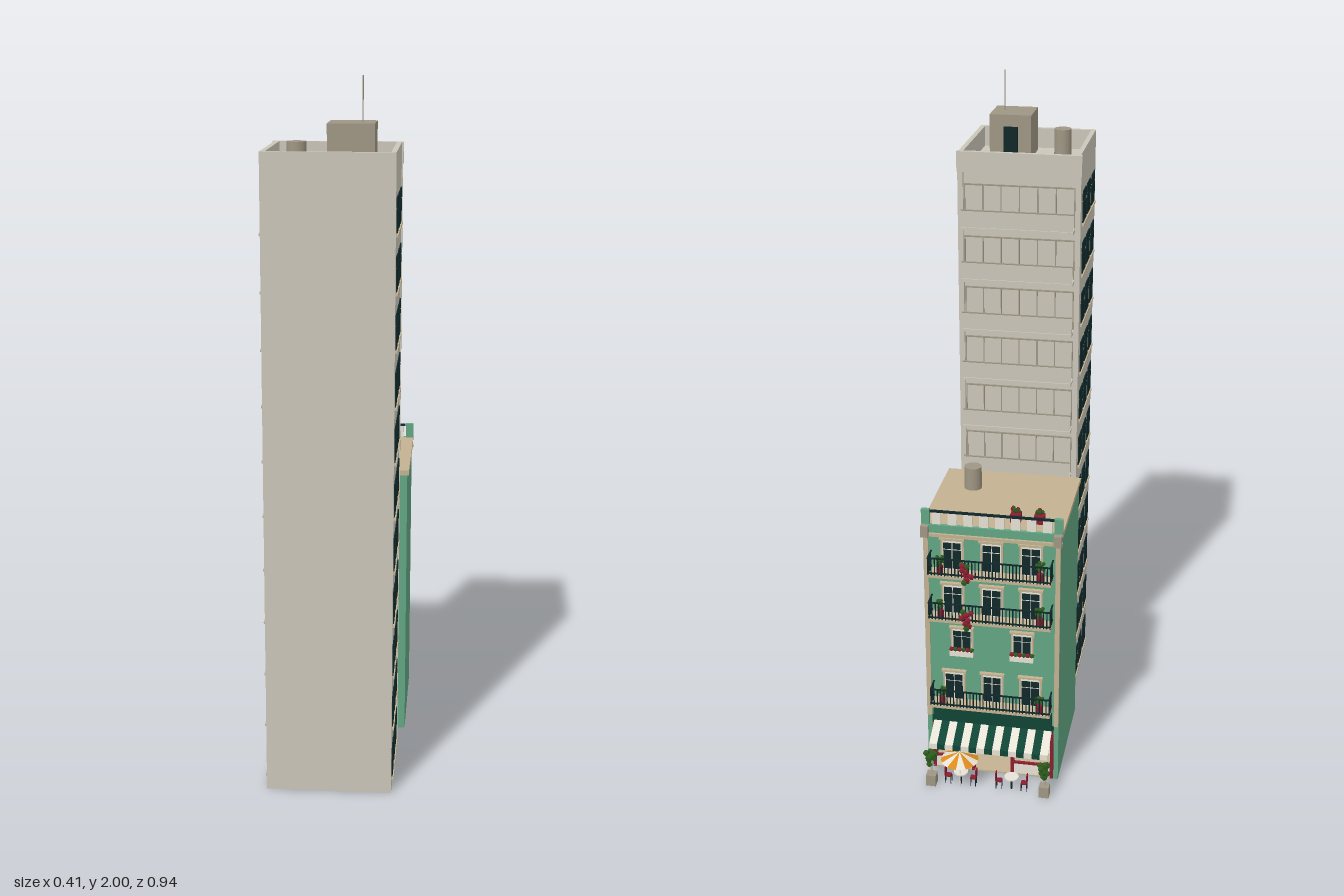
import * as THREE from 'three';

const mat = (name, color) => Object.assign(new THREE.MeshStandardMaterial({ color, side: THREE.DoubleSide }), { name });
const M = {
  stone: mat('pale stone', 0xcbc6b9), concrete: mat('concrete', 0x9f9684), tan: mat('tan plaster', 0xc3b291),
  green: mat('green plaster', 0x62a583), dark: mat('dark glass and iron', 0x10282a), canvas: mat('dark green canvas', 0x0f4434),
  white: mat('off white', 0xe6e2d6), orange: mat('orange canvas', 0xdd8a1c), red: mat('flower red', 0x8c1c30), leaf: mat('leaf green', 0x2c5a1c),
};

function add(parent, name, geo, m, x, y, z) {
  const mesh = new THREE.Mesh(geo, m);
  mesh.name = name;
  mesh.position.set(x, y, z);
  parent.add(mesh);
  return mesh;
}
// Box given by its x, y and z ranges
const box = (p, name, m, x0, x1, y0, y1, z0, z1) =>
  add(p, name, new THREE.BoxGeometry(x1 - x0, y1 - y0, z1 - z0), m, (x0 + x1) / 2, (y0 + y1) / 2, (z0 + z1) / 2);
const cyl = (p, name, m, r, y0, y1, x, z, n = 20) =>
  add(p, name, new THREE.CylinderGeometry(r, r, y1 - y0, n), m, x, (y0 + y1) / 2, z);
function group(parent, name) {
  const g = new THREE.Group();
  g.name = name;
  parent.add(g);
  return g;
}
let seed = 7;
const rnd = () => (seed = (seed * 16807) % 2147483647) / 2147483647;

// Clump of leaves, with a few blossoms mixed in
function bush(p, x, y, z, r, h, blossoms = 0) {
  const g = group(p, 'plant');
  for (let i = 0; i < 12; i++) {
    const a = i * 2.4, d = r * 0.7 * rnd();
    add(g, i < blossoms ? 'blossom' : 'leaves', new THREE.IcosahedronGeometry(r * 0.4, 0), i < blossoms ? M.red : M.leaf,
      x + d * Math.cos(a), y + h * rnd(), z + d * Math.sin(a));
  }
}

function tower(root) {
  const g = group(root, 'tower');
  box(g, 'towerBody', M.stone, -0.178, 0.178, 0, 1.75, 0.13, 0.47);
  for (const s of [-1, 1]) {
    box(g, 'sideParapet', M.stone, s * 0.171 - 0.007, s * 0.171 + 0.007, 1.75, 1.81, 0.13, 0.47);
    box(g, 'cornerFin', M.stone, s * 0.173 - 0.008, s * 0.173 + 0.008, 0, 1.76, 0.118, 0.132);
  }
  box(g, 'frontParapet', M.stone, -0.178, 0.178, 1.75, 1.81, 0.456, 0.47);
  box(g, 'backParapet', M.stone, -0.183, 0.183, 1.75, 1.81, 0.116, 0.13);

  for (let k = 0; k < 11; k++) {
    const y = 0.032 + 0.156 * k;
    // Paired side windows with transoms
    for (const s of [-1, 1]) for (const z of [0.214, 0.309, 0.409]) {
      const w = group(g, 'sideWindow');
      for (const dz of [-0.0185, 0.0185]) {
        box(w, 'pane', M.dark, s * 0.179 - 0.002, s * 0.179 + 0.002, y + 0.006, y + 0.068, z + dz - 0.0165, z + dz + 0.0165);
        box(w, 'transomPane', M.dark, s * 0.179 - 0.002, s * 0.179 + 0.002, y + 0.072, y + 0.1, z + dz - 0.0165, z + dz + 0.0165);
      }
      box(w, 'sill', M.tan, s * 0.18 - 0.004, s * 0.18 + 0.004, y - 0.003, y + 0.003, z - 0.04, z + 0.04);
    }
    // Balcony with solid railing panels and a framed window wall behind
    const b = group(g, 'towerBalcony');
    box(b, 'slab', M.stone, -0.165, 0.165, y - 0.006, y + 0.003, 0.08, 0.13);
    box(b, 'railing', M.stone, -0.165, 0.165, y + 0.003, y + 0.052, 0.084, 0.087);
    box(b, 'handrail', M.concrete, -0.165, 0.165, y + 0.052, y + 0.055, 0.083, 0.088);
    box(b, 'lintel', M.concrete, -0.165, 0.165, y + 0.118, y + 0.122, 0.125, 0.13);
    for (let i = 0; i < 7; i++) {
      const x = -0.162 + 0.054 * i;
      box(b, 'mullion', M.concrete, x - 0.0015, x + 0.0015, y, y + 0.12, 0.126, 0.13);
    }
  }

  // Roof structures
  const r = group(g, 'towerRoof');
  box(r, 'stairHouse', M.concrete, -0.005, 0.12, 1.75, 1.88, 0.303, 0.43);
  box(r, 'stairDoor', M.dark, 0.035, 0.078, 1.75, 1.845, 0.298, 0.303);
  cyl(r, 'antenna', M.concrete, 0.0018, 1.88, 2, 0.085, 0.368, 6);
  cyl(r, 'waterTank', M.concrete, 0.026, 1.75, 1.83, -0.09, 0.375);
  for (const x of [-0.118, -0.05]) {
    box(r, 'coolingUnit', M.white, x - 0.022, x + 0.022, 1.75, 1.785, 0.205, 0.232);
    add(r, 'fan', new THREE.CylinderGeometry(0.012, 0.012, 0.004, 16), M.dark, x, 1.768, 0.204).rotation.x = Math.PI / 2;
  }
}

// Window on the townhouse facade
function facadeWindow(p, x, y, h) {
  const w = group(p, 'facadeWindow');
  box(w, 'surround', M.tan, x - 0.034, x + 0.034, y, y + h + 0.008, -0.333, -0.329);
  box(w, 'frame', M.white, x - 0.028, x + 0.028, y, y + h, -0.335, -0.33);
  for (const d of [-0.0135, 0.0135]) {
    box(w, 'pane', M.dark, x + d - 0.012, x + d + 0.012, y + 0.004, y + h * 0.7, -0.337, -0.33);
    box(w, 'transomPane', M.dark, x + d - 0.012, x + d + 0.012, y + h * 0.74, y + h - 0.004, -0.337, -0.33);
  }
  box(w, 'hood', M.tan, x - 0.037, x + 0.037, y + h + 0.006, y + h + 0.012, -0.342, -0.329);
}

function ironBalcony(p, y) {
  const b = group(p, 'ironBalcony');
  box(b, 'slab', M.tan, -0.18, 0.18, y - 0.008, y, -0.38, -0.33);
  for (const dy of [0.004, 0.052]) {
    box(b, 'frontRail', M.dark, -0.18, 0.18, y + dy, y + dy + 0.004, -0.38, -0.376);
    for (const x of [-0.178, 0.178]) box(b, 'sideRail', M.dark, x - 0.002, x + 0.002, y + dy, y + dy + 0.004, -0.378, -0.33);
  }
  for (let i = 0; i <= 36; i++) box(b, 'baluster', M.dark, -0.18 + i * 0.0099, -0.1772 + i * 0.0099, y, y + 0.054, -0.3795, -0.3765);
  for (const x of [-0.178, 0.178]) for (const z of [-0.365, -0.353, -0.341])
    box(b, 'sideBaluster', M.dark, x - 0.0015, x + 0.0015, y, y + 0.054, z - 0.0015, z + 0.0015);
  for (const x of [-0.146, 0.146]) {
    cyl(b, 'flowerPot', M.red, 0.009, y, y + 0.025, x, -0.362, 10);
    bush(b, x, y + 0.03, -0.362, 0.016, 0.025);
  }
}

function townhouse(root) {
  const g = group(root, 'townhouse');
  // Walls with an open shop at street level
  box(g, 'upperWalls', M.green, -0.2, 0.2, 0.19, 0.82, -0.33, 0.05);
  box(g, 'rearWalls', M.green, -0.2, 0.2, 0, 0.19, -0.21, 0.05);
  for (const s of [-1, 1]) {
    box(g, 'shopSideWall', M.green, s * 0.193 - 0.007, s * 0.193 + 0.007, 0, 0.19, -0.33, -0.21);
    box(g, 'cornerTrim', M.tan, s * 0.193 - 0.007, s * 0.193 + 0.007, 0.19, 0.8, -0.335, -0.329);
    box(g, 'parapetPost', M.green, s * 0.193 - 0.012, s * 0.193 + 0.012, 0.835, 0.88, -0.333, -0.32);
    box(g, 'corniceBracket', M.concrete, s * 0.193 - 0.011, s * 0.193 + 0.011, 0.8, 0.835, -0.352, -0.33);
  }
  box(g, 'roof', M.tan, -0.205, 0.205, 0.82, 0.835, -0.325, 0.05);
  box(g, 'parapetBand', M.green, -0.2, 0.2, 0.81, 0.835, -0.336, -0.325);
  box(g, 'cornice', M.tan, -0.205, 0.205, 0.8, 0.81, -0.343, -0.328);
  for (let i = 0; i < 8; i++) box(g, 'roofBaluster', M.white, -0.174 + i * 0.046, -0.148 + i * 0.046, 0.835, 0.872, -0.33, -0.325);
  box(g, 'roofRail', M.dark, -0.18, 0.18, 0.872, 0.878, -0.331, -0.324);

  cyl(g, 'roofTank', M.concrete, 0.026, 0.835, 0.905, 0.105, -0.07);
  for (const x of [-0.129, -0.06]) {
    box(g, 'roofPlanter', M.red, x - 0.015, x + 0.015, 0.835, 0.86, -0.283, -0.255);
    bush(g, x, 0.862, -0.269, 0.016, 0.015, 2);
  }

  // Upper floors
  for (const y of [0.255, 0.55, 0.695]) {
    for (const x of [-0.115, 0, 0.115]) facadeWindow(g, x, y, 0.09);
    ironBalcony(g, y);
  }
  for (const x of [-0.09, 0.09]) {
    facadeWindow(g, x, 0.42, 0.075);
    box(g, 'windowBox', M.white, x - 0.035, x + 0.035, 0.412, 0.428, -0.348, -0.333);
    for (let i = 0; i < 6; i++) add(g, 'boxFlower', new THREE.IcosahedronGeometry(0.008, 0), i % 2 ? M.red : M.leaf, x - 0.03 + i * 0.012, 0.432, -0.341);
  }
  for (const y of [0.53, 0.68]) bush(g, 0.065, y, -0.386, 0.024, 0.06, 8);

  // Shop front
  const s = group(g, 'shop');
  box(s, 'shopFloor', M.tan, -0.186, 0.186, 0, 0.005, -0.33, -0.21);
  box(s, 'shopBackWall', M.white, -0.186, 0.186, 0.005, 0.19, -0.214, -0.21);
  box(s, 'signBand', M.canvas, -0.18, 0.18, 0.178, 0.235, -0.34, -0.33);
  box(s, 'shopBeam', M.canvas, -0.186, 0.186, 0.165, 0.19, -0.33, -0.32);
  for (const x of [-0.18, -0.06, 0.06, 0.18]) box(s, 'shopPost', M.red, x - 0.005, x + 0.005, 0, 0.17, -0.33, -0.322);
  for (const x of [-0.12, 0.12]) {
    box(s, 'shopWindowBase', M.white, x - 0.055, x + 0.055, 0, 0.04, -0.328, -0.322);
    box(s, 'shopWindowRail', M.red, x - 0.055, x + 0.055, 0.04, 0.046, -0.329, -0.321);
  }
  // Striped awning
  for (let i = 0; i < 15; i++) {
    const x = -0.168 + i * 0.024, m = i % 2 ? M.canvas : M.white;
    add(s, 'awningStripe', new THREE.BoxGeometry(0.024, 0.002, 0.083), m, x, 0.152, -0.368).rotation.x = -0.44;
    box(s, 'valance', m, x - 0.012, x + 0.012, 0.118, 0.136, -0.407, -0.404);
  }
}

function terrace(root) {
  const g = group(root, 'terrace');
  // Sunshade with alternating segments
  for (let i = 0; i < 12; i++)
    add(g, 'sunshadeSegment', new THREE.ConeGeometry(0.056, 0.026, 2, 1, true, i * Math.PI / 6, Math.PI / 6), i % 2 ? M.orange : M.white, 0.085, 0.11, -0.414);
  cyl(g, 'sunshadePole', M.white, 0.002, 0, 0.125, 0.085, -0.414, 8);
  for (const x of [-0.07, 0.085]) {
    cyl(g, 'tableTop', M.white, 0.022, 0.04, 0.044, x, -0.4, 16);
    cyl(g, 'tableLeg', M.dark, 0.003, 0, 0.04, x, -0.4, 8);
    for (const s of [-1, 1]) {
      const cx = x + s * 0.038;
      box(g, 'chairSeat', M.red, cx - 0.009, cx + 0.009, 0.024, 0.028, -0.409, -0.391);
      box(g, 'chairBack', M.red, cx + s * 0.009 - 0.0015, cx + s * 0.009 + 0.0015, 0.028, 0.055, -0.409, -0.391);
      for (const dx of [-0.008, 0.008]) for (const z of [-0.408, -0.392])
        box(g, 'chairLeg', M.dark, cx + dx - 0.001, cx + dx + 0.001, 0, 0.025, z - 0.001, z + 0.001);
    }
  }
  // Potted trees
  for (const x of [-0.172, 0.172]) {
    box(g, 'treePot', M.concrete, x - 0.015, x + 0.015, 0, 0.036, -0.43, -0.4);
    cyl(g, 'treeTrunk', M.tan, 0.003, 0.036, 0.08, x, -0.415, 6);
    bush(g, x, 0.065, -0.418, 0.026, 0.05);
  }
}

export function createModel() {
  const root = new THREE.Group();
  root.name = 'cityBuildings';
  tower(root);
  townhouse(root);
  terrace(root);
  return root;
}
